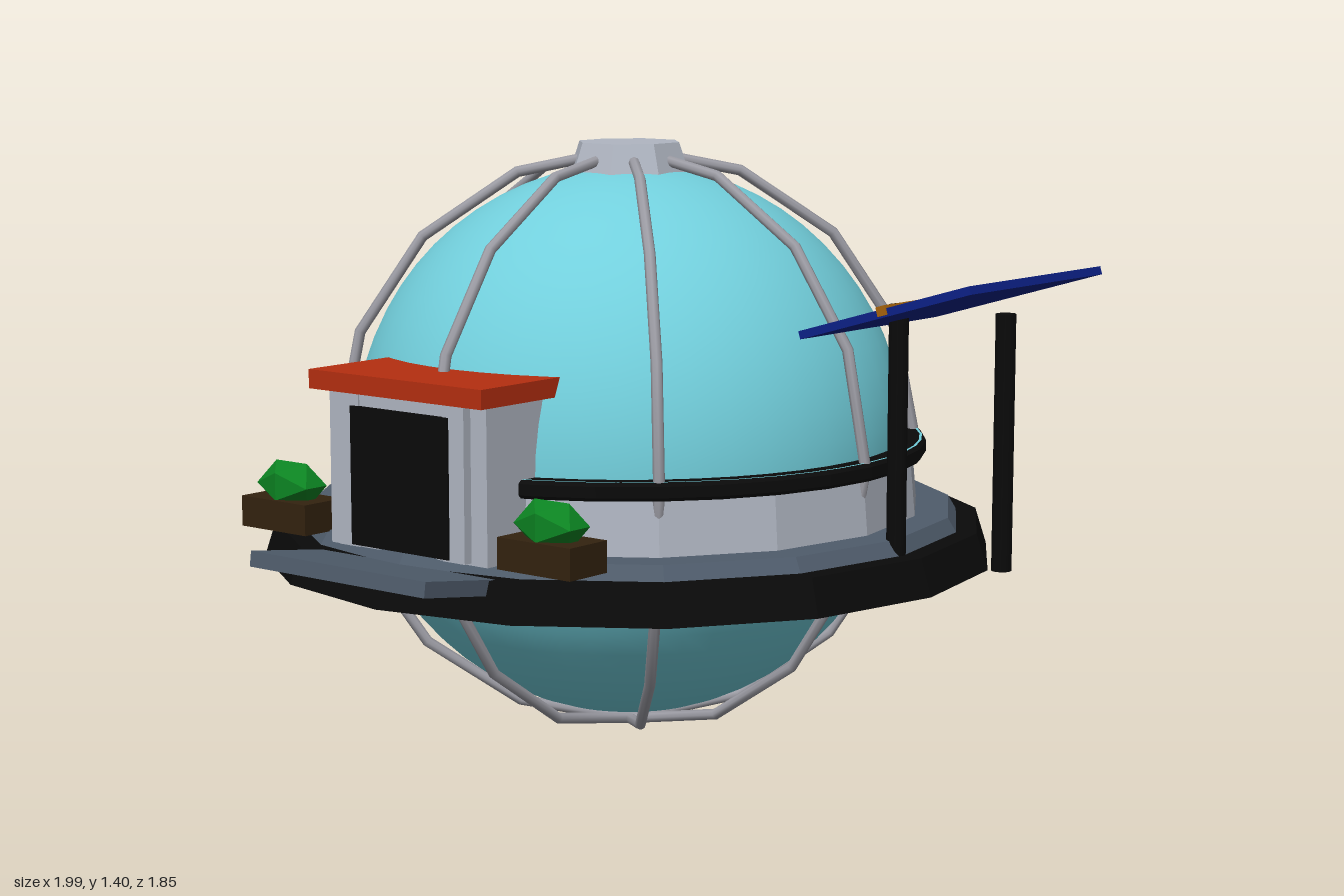
import * as THREE from 'three';

const mat = (name, color) => {
  const m = new THREE.MeshStandardMaterial({ color });
  m.name = name;
  return m;
};
const flat = (geometry) => {
  const g = geometry.index ? geometry.toNonIndexed() : geometry;
  g.computeVertexNormals();
  return g;
};

export function createModel() {
  const glass = mat('aqua glass', 0x72cfdc);
  const rib = mat('rib steel', 0x9c9ca4);
  const grey = mat('pale grey', 0xb0b6c2);
  const slate = mat('slate', 0x4f5c6b);
  const black = mat('black', 0x0a0a0a);
  const red = mat('roof red', 0xb52e10);
  const navy = mat('panel blue', 0x0c2188);
  const orange = mat('panel orange', 0xa8640c);
  const brown = mat('planter brown', 0x33220f);
  const green = mat('leaf green', 0x0c8422);

  const model = new THREE.Group();
  model.name = 'domeHabitat';
  const add = (parent, name, geometry, material, x = 0, y = 0, z = 0) => {
    const mesh = new THREE.Mesh(geometry, material);
    mesh.name = name;
    mesh.position.set(x, y, z);
    parent.add(mesh);
    return mesh;
  };
  // box given by its min and max corners
  const box = (parent, name, material, [x0, y0, z0], [x1, y1, z1]) =>
    add(parent, name, new THREE.BoxGeometry(x1 - x0, y1 - y0, z1 - z0), material,
      (x0 + x1) / 2, (y0 + y1) / 2, (z0 + z1) / 2);
  // faceted drum between two heights
  const drum = (parent, name, material, rTop, rBottom, y0, y1, sides = 16) =>
    add(parent, name, flat(new THREE.CylinderGeometry(rTop, rBottom, y1 - y0, sides)), material, 0, (y0 + y1) / 2, 0);

  // Round body
  const CX = -0.135, CZ = -0.06, EQUATOR = 0.7;
  const body = new THREE.Group();
  body.name = 'domeBody';
  body.position.set(CX, 0, CZ);
  model.add(body);

  add(body, 'glassSphere', new THREE.SphereGeometry(0.65, 48, 32), glass, 0, EQUATOR, 0);
  drum(body, 'lowerDeck', black, 0.838, 0.865, 0.43, 0.515);
  drum(body, 'upperDeck', slate, 0.77, 0.79, 0.515, 0.548);
  drum(body, 'ringWall', grey, 0.68, 0.692, 0.548, 0.68);
  const cap = drum(body, 'topCap', grey, 0.122, 0.15, 1.32, 1.402, 8);
  cap.rotation.y = Math.PI / 8;

  // Band around the equator, with a thin inlaid line
  const band = [[0.64, 0.672], [0.695, 0.672], [0.702, 0.68], [0.702, 0.705], [0.695, 0.712], [0.64, 0.712]];
  add(body, 'equatorBand', flat(new THREE.LatheGeometry(band.map(([x, y]) => new THREE.Vector2(x, y)), 32)), black);
  const line = add(body, 'bandLine', new THREE.RingGeometry(0.687, 0.693, 48), glass, 0, 0.7135, 0);
  line.rotation.x = -Math.PI / 2;

  // Meridian ribs: four hoops make eight ribs
  for (let i = 0; i < 4; i++) {
    const hoop = add(body, 'ribHoop', new THREE.TorusGeometry(0.685, 0.013, 8, 16), rib, 0, EQUATOR, 0);
    hoop.rotation.y = (i * Math.PI) / 4;
  }

  // Entrance
  const entrance = new THREE.Group();
  entrance.name = 'entrance';
  model.add(entrance);
  box(entrance, 'porch', grey, [-0.37, 0.535, 0.4], [0.1, 0.885, 0.7]);
  for (const side of [-1, 1]) {
    const x = CX + side * 0.157;
    box(entrance, 'doorPost', grey, [x - 0.032, 0.54, 0.68], [x + 0.032, 0.885, 0.722]);
  }
  box(entrance, 'lintel', grey, [-0.324, 0.85, 0.68], [0.054, 0.885, 0.718]);
  box(entrance, 'door', black, [-0.28, 0.545, 0.69], [0.01, 0.855, 0.728]);
  box(entrance, 'porchRoof', red, [-0.392, 0.885, 0.4], [0.124, 0.928, 0.742]);
  const ramp = add(entrance, 'ramp', new THREE.BoxGeometry(0.525, 0.035, 0.23), slate, CX, 0.512, 0.81);
  ramp.rotation.x = -0.14;

  // Planters either side of the entrance
  for (const side of [-1, 1]) {
    const planter = new THREE.Group();
    planter.name = side > 0 ? 'leftPlanter' : 'rightPlanter';
    planter.position.set(CX + side * 0.392, 0, 0.67);
    model.add(planter);
    box(planter, 'planterBox', brown, [-0.102, 0.545, -0.06], [0.102, 0.615, 0.06]);
    const bush = add(planter, 'bush', flat(new THREE.IcosahedronGeometry(1, 0)), green, 0, 0.645, 0);
    bush.scale.set(0.093, 0.06, 0.062);
  }

  // Solar panel on two posts
  const solar = new THREE.Group();
  solar.name = 'solarArray';
  model.add(solar);
  for (const x of [0.635, 0.912]) {
    add(solar, 'panelPost', new THREE.CylinderGeometry(0.022, 0.022, 0.56, 12), black, x, 0.795, CZ);
  }
  const tilt = new THREE.Group();
  tilt.name = 'tiltedPanel';
  tilt.position.set(0.772, 1.089, CZ);
  tilt.rotation.z = 0.285;
  solar.add(tilt);
  box(tilt, 'panel', navy, [-0.226, -0.009, -0.26], [0.226, 0.009, 0.26]);
  box(tilt, 'panelStrip', orange, [-0.012, -0.005, -0.264], [0.012, 0.016, 0.264]);

  return model;
}
